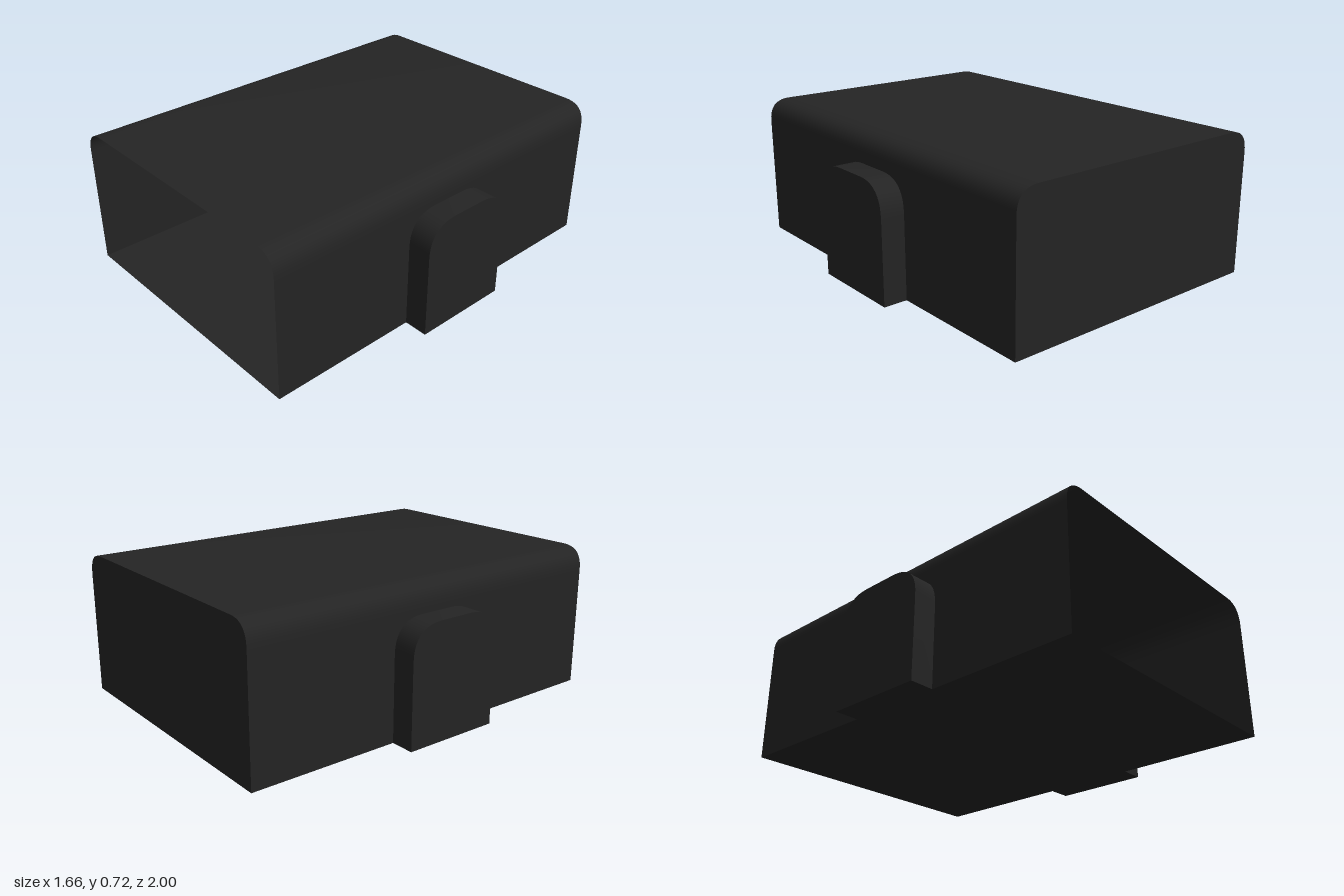
import * as THREE from 'three';

const W = 0.71, H = 0.72, L = 2;          // housing half width, height, length
const TAB = { half: 0.248, top: 0.575, out: 0.12 };
const WALL_TOP = 0.6;

const material = new THREE.MeshStandardMaterial({ color: 0x242424, side: THREE.DoubleSide });

function addMesh(parent, name, geometry) {
  const mesh = new THREE.Mesh(geometry, material);
  mesh.name = name;
  parent.add(mesh);
  return mesh;
}

// Arch outline from lower left, over the rounded top, to lower right
function arch(half, base, top, r) {
  const v = (x, y) => new THREE.Vector2(x, y);
  const corner = new THREE.QuadraticBezierCurve(v(-half, top - r), v(-half, top), v(-half + r, top));
  const left = [v(-half, base), ...corner.getPoints(10)];
  return [...left, ...left.map((p) => v(-p.x, p.y)).reverse()];
}

// Open sheet that sweeps an outline along z
function sheet(points, z0, z1) {
  const n = points.length;
  const geometry = new THREE.PlaneGeometry(1, 1, n - 1, 1);
  const pos = geometry.attributes.position;
  for (let i = 0; i < pos.count; i++) {
    const p = points[i % n];
    pos.setXYZ(i, p.x, p.y, i < n ? z0 : z1);
  }
  geometry.computeVertexNormals();
  return geometry;
}

// Downward-facing floor plate
const floorPlate = (width, depth) => new THREE.PlaneGeometry(width, depth).rotateX(Math.PI / 2);

// Side wall with a hollow tab, built facing +z
function createSide(name) {
  const side = new THREE.Group();
  side.name = name;
  const outline = arch(TAB.half, 0, TAB.top, 0.16);

  const wall = new THREE.Shape();
  wall.moveTo(-L / 2, 0);
  outline.forEach((p) => wall.lineTo(p.x, p.y));
  wall.lineTo(L / 2, 0);
  wall.lineTo(L / 2, WALL_TOP);
  wall.lineTo(-L / 2, WALL_TOP);
  addMesh(side, 'sideWall', new THREE.ShapeGeometry(wall));

  addMesh(side, 'tabRim', sheet(outline, 0, TAB.out));
  addMesh(side, 'tabFace', new THREE.ShapeGeometry(new THREE.Shape(outline))).position.z = TAB.out;
  addMesh(side, 'tabFloor', floorPlate(TAB.half * 2, TAB.out)).position.z = TAB.out / 2;
  return side;
}

export function createModel() {
  const model = new THREE.Group();
  model.name = 'openHousing';

  // Roof with rounded long edges, floor and closed back; the front stays open
  addMesh(model, 'roof', sheet(arch(W, WALL_TOP, H, 0.11), -L / 2, L / 2));
  addMesh(model, 'floor', floorPlate(W * 2, L));
  const back = addMesh(model, 'backWall', new THREE.ShapeGeometry(new THREE.Shape(arch(W, 0, H, 0.11))));
  back.rotation.y = Math.PI;
  back.position.z = -L / 2;

  // Mirrored sides
  for (const s of [1, -1]) {
    const side = createSide(s > 0 ? 'leftSide' : 'rightSide');
    side.rotation.y = (s * Math.PI) / 2;
    side.position.x = s * W;
    model.add(side);
  }
  return model;
}
